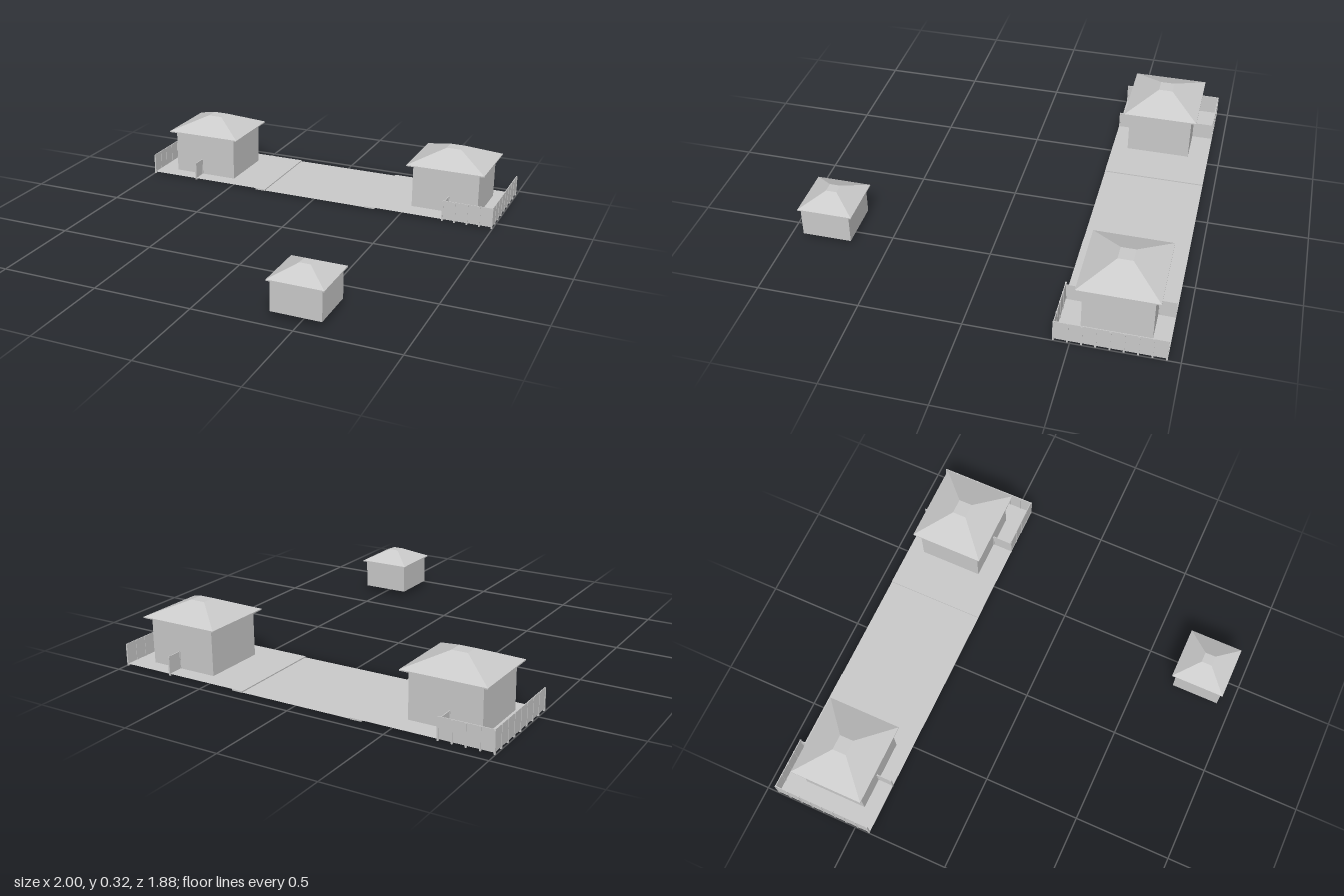
import * as THREE from 'three';

const mat = new THREE.MeshStandardMaterial({ color: 0xcccccc, flatShading: true });
const thinMat = new THREE.MeshStandardMaterial({ color: 0xcccccc, flatShading: true, side: THREE.DoubleSide });

// box given by its min and max on each axis
function box(parent, name, [x0, x1], [y0, y1], [z0, z1]) {
  const mesh = new THREE.Mesh(new THREE.BoxGeometry(x1 - x0, y1 - y0, z1 - z0), mat);
  mesh.position.set((x0 + x1) / 2, (y0 + y1) / 2, (z0 + z1) / 2);
  mesh.name = name;
  parent.add(mesh);
}

// horizontal sheet without thickness
function sheet(parent, name, x0, x1, y, z0, z1) {
  const mesh = new THREE.Mesh(new THREE.PlaneGeometry(x1 - x0, z1 - z0).rotateX(-Math.PI / 2), thinMat);
  mesh.position.set((x0 + x1) / 2, y, (z0 + z1) / 2);
  mesh.name = name;
  parent.add(mesh);
}

// four-sided roof with a flat top and a thin eave
function roof(parent, x, z, halfX, halfZ, topHalf, y0, y1) {
  const eave = 0.006;
  const geo = new THREE.CylinderGeometry(topHalf * Math.SQRT2, halfX * Math.SQRT2, y1 - y0 - eave, 4)
    .rotateY(Math.PI / 4).scale(1, 1, halfZ / halfX);
  const mesh = new THREE.Mesh(geo, mat);
  mesh.position.set(x, (y0 + eave + y1) / 2, z);
  mesh.name = 'roof';
  parent.add(mesh);
  box(parent, 'eave', [x - halfX, x + halfX], [y0, y0 + eave], [z - halfZ, z + halfZ]);
}

// straight fence with evenly spaced posts, along x or z
function fence(parent, name, x0, z0, x1, z1, bays, top) {
  const group = new THREE.Group();
  group.name = name;
  const t = 0.002, p = 0.004;
  box(group, 'fencePanel', [x0 - t, x1 + t], [0.01, top], [z0 - t, z1 + t]);
  for (let i = 0; i <= bays; i++) {
    const x = x0 + (x1 - x0) * i / bays, z = z0 + (z1 - z0) * i / bays;
    box(group, 'fencePost', [x - p, x + p], [0, top - 0.003], [z - p, z + p]);
  }
  parent.add(group);
}

// one plot: ground, house, fences and side gates; z is relative to the plot axis
function plot(name) {
  const g = new THREE.Group();
  g.name = name;
  sheet(g, 'plotGround', -0.997, -0.295, 0.01, -0.26, 0.26);
  box(g, 'groundStep', [-0.353, -0.295], [0.002, 0.01], [-0.26, 0.26]);
  box(g, 'houseWalls', [-0.89, -0.528], [0.01, 0.247], [-0.152, 0.178]);
  roof(g, -0.709, 0.012, 0.212, 0.192, 0.04, 0.244, 0.322);
  fence(g, 'endFence', -0.995, -0.256, -0.995, 0.256, 8, 0.113);
  fence(g, 'sideFence', -0.995, -0.256, -0.73, -0.256, 4, 0.113);
  fence(g, 'sideGate', -0.73, 0.178, -0.73, 0.256, 1, 0.098);
  fence(g, 'rearGate', -0.73, -0.256, -0.73, -0.152, 1, 0.098);
  return g;
}

export function createModel() {
  const model = new THREE.Group();
  model.name = 'houses';

  // two plots, the second turned half round
  const first = plot('rightPlot');
  const second = plot('leftPlot');
  second.rotation.y = Math.PI;
  for (const p of [first, second]) {
    p.position.z = -0.68;
    model.add(p);
  }

  // lower ground between the plots
  sheet(model, 'middleGround', -0.32, 0.32, 0.004, -0.94, -0.42);

  // small separate house
  const hut = new THREE.Group();
  hut.name = 'smallHouse';
  box(hut, 'hutWalls', [0.357, 0.606], [0.03, 0.183], [0.68, 0.927]);
  roof(hut, 0.481, 0.8, 0.138, 0.138, 0.027, 0.18, 0.242);
  model.add(hut);

  return model;
}
